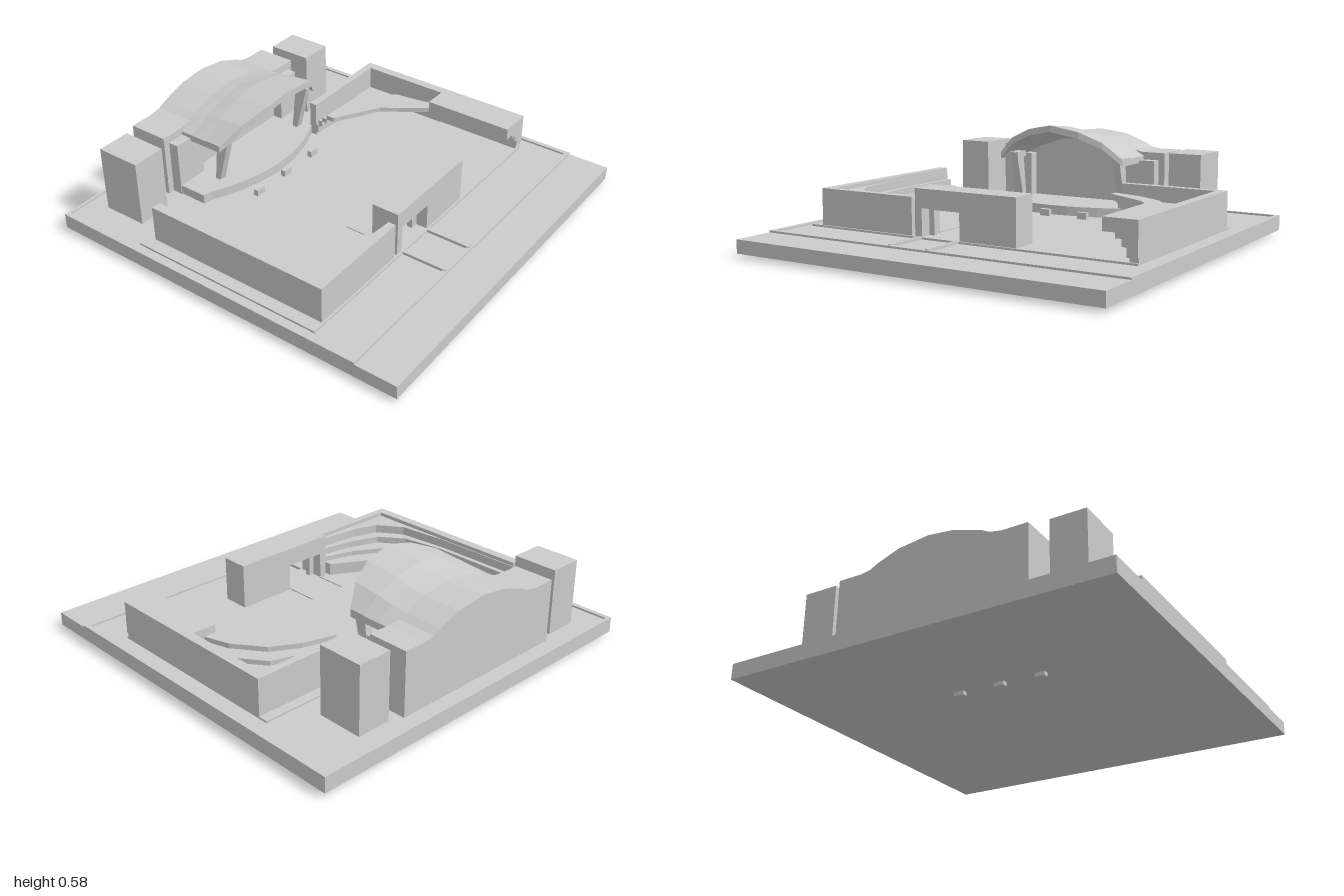
import * as THREE from 'three';

const mat = new THREE.MeshStandardMaterial({ color: 0xcccccc, flatShading: true, side: THREE.DoubleSide });

export function createModel() {
  const root = new THREE.Group();
  const add = (name, geo) => {
    const m = new THREE.Mesh(geo, mat);
    m.name = name;
    root.add(m);
    return m;
  };
  // box from its limits
  const box = (name, x0, x1, y0, y1, z0, z1) => {
    const g = new THREE.BoxGeometry(x1 - x0, y1 - y0, z1 - z0);
    g.translate((x0 + x1) / 2, (y0 + y1) / 2, (z0 + z1) / 2);
    return add(name, g);
  };
  const toPath = (pts, Type) => new Type(pts.map(([a, b]) => new THREE.Vector2(a, b)));
  const extrude = (shape, depth) => new THREE.ExtrudeGeometry(shape, { depth, bevelEnabled: false });
  // horizontal slab from an (x, z) outline
  const slab = (name, pts, y0, y1, hole) => {
    const flip = p => p.map(([x, z]) => [x, -z]);
    const s = toPath(flip(pts), THREE.Shape);
    if (hole) s.holes.push(toPath(flip(hole), THREE.Path));
    const g = extrude(s, y1 - y0);
    g.rotateX(-Math.PI / 2);
    g.translate(0, y0, 0);
    return add(name, g);
  };
  const rect = (x0, x1, z0, z1) => [[x0, z0], [x1, z0], [x1, z1], [x0, z1]];

  // ground, kerbs and plaza
  box('base', -1, 1, 0.02, 0.09, -1, 1);
  slab('perimeterKerb', rect(-1, 0.78, -1, 1), 0.09, 0.1, rect(-0.985, 0.755, -0.975, 0.975));
  box('plaza', -0.53, 0.53, 0.09, 0.1, -0.905, 0.945);
  for (const z of [0.035, 0.25]) {
    box('pathKerb', 0.53, 0.77, 0.09, 0.105, z - 0.008, z + 0.008);
    box('pathKerb', 0.2, 0.38, 0.09, 0.105, z - 0.005, z + 0.005);
  }

  // gatehouse with a doorway through it
  const gate = toPath([[-0.29, 0.1], [-0.25, 0.1], [-0.25, 0.24], [-0.03, 0.24], [-0.03, 0.1],
    [0.285, 0.1], [0.285, 0.335], [-0.29, 0.335]], THREE.Shape);
  const gateGeo = extrude(gate, 0.145);
  gateGeo.rotateY(Math.PI / 2);
  gateGeo.translate(0.375, 0, 0);
  add('gatehouse', gateGeo);
  // door frame inside the doorway
  box('doorPost', 0.43, 0.46, 0.1, 0.24, 0.03, 0.07);
  box('doorPost', 0.43, 0.46, 0.1, 0.24, 0.22, 0.25);
  box('doorLintel', 0.43, 0.46, 0.225, 0.24, 0.03, 0.25);

  // curved seating: front edge of each tier, from the straight run to the side end
  const curves = [
    [[0, 0.705], [0.22, 0.55], [0.36, 0.31]],
    [[0, 0.77], [0.13, 0.73], [0.28, 0.62], [0.36, 0.48], [0.41, 0.31]],
    [[0, 0.8], [0.22, 0.765], [0.35, 0.67], [0.41, 0.5], [0.44, 0.31]],
    [[0, 0.825], [0.27, 0.8], [0.4, 0.71], [0.44, 0.58], [0.465, 0.31]],
    [[0, 0.85], [0.5, 0.85], [0.5, 0.31]],
  ];
  const tops = [0.14, 0.165, 0.19, 0.225, 0.27];
  const turn = pts => pts.map(([x, z]) => [0.04 - x, -0.025 - z]);
  const outer = [[-0.49, 0.88], [0.52, 0.88], [0.52, 0.31], [0.48, 0.31], [0.48, 0.83], [-0.49, 0.83]];
  const outerBack = [[-0.01, 0.88], [0.52, 0.88], [0.52, 0.31], [0.48, 0.31], [0.48, 0.83], [-0.01, 0.83]];
  slab('frontStandWall', outer, 0.1, 0.29);
  slab('backStandWall', turn(outerBack), 0.1, 0.29);
  for (let k = 0; k < 4; k++) {
    const c = curves[k], z = c[0][1], top = tops[k + 1];
    const run = rect(-0.49, 0, z, 0.88);
    // front stand: solid steps rising outward
    slab('frontTier', [[-0.49, z], ...c, [0.5, 0.31], [0.5, 0.85], [-0.49, 0.85]], 0.1, top);
    // back stand: hanging ribbons stepping down towards the wall
    const ribbon = [...c, ...curves[k + 1].slice().reverse()];
    slab('backTier', turn(ribbon), 0.39 - top, 0.39 - tops[k]);
    slab('backOverhang', turn(run), 0.39 - top, 0.29);
  }
  box('backOverhangRear', 0.05, 0.52, 0.1, 0.29, -0.905, -0.86);

  // stage with a curved front
  const stage = [[-0.92, -0.42], [-0.5, -0.42]];
  for (let i = 0; i <= 10; i++) {
    const t = -1 + i / 5;
    stage.push([-0.38 - 0.11 * t * t, 0.05 + 0.42 * t]);
  }
  stage.push([-0.5, 0.52], [-0.92, 0.52]);
  slab('stage', stage, 0.1, 0.15);
  for (const z of [0.285, 0.065, -0.16]) box('stagePost', -0.347, -0.32, 0, 0.135, z - 0.027, z + 0.027);

  // stage house with arched top, and side towers
  const zs = [-0.33, -0.24, -0.12, 0.04, 0.18, 0.32, 0.43];
  const yBack = [0.41, 0.46, 0.505, 0.525, 0.51, 0.465, 0.41];
  const yFront = [0.41, 0.5, 0.555, 0.585, 0.558, 0.5, 0.41];
  const xFront = [-0.455, -0.395, -0.35, -0.33, -0.345, -0.395, -0.455];
  const house = [[0.455, 0.1], [0.455, 0.43], [0.33, 0.43],
    ...zs.slice(1, -1).map((z, i) => [-z, yBack[i + 1] - 0.015]),
    [-0.43, 0.43], [-0.56, 0.43], [-0.56, 0.1]];
  const houseGeo = extrude(toPath(house, THREE.Shape), 0.215);
  houseGeo.rotateY(Math.PI / 2);
  houseGeo.translate(-0.92, 0, 0);
  add('stageHouse', houseGeo);
  box('sideWing', -0.71, -0.65, 0.1, 0.39, 0.35, 0.525);
  box('sideWing', -0.71, -0.65, 0.1, 0.39, -0.42, -0.29);
  box('frontTower', -0.88, -0.64, 0.09, 0.44, 0.64, 0.82);
  box('backTower', -0.88, -0.64, 0.09, 0.44, -0.69, -0.51);

  // flared shell roof lofted from closed cross-sections
  const rowX = [-0.92, -0.71, -0.63, -0.54, null], rise = [0, 0, 0.25, 0.65, 1];
  const pos = [], idx = [], n = zs.length;
  rowX.forEach((x, r) => {
    for (let j = 0; j < 2 * n; j++) {
      const under = j >= n, i = under ? 2 * n - 1 - j : j;
      const y = yBack[i] + (yFront[i] - yBack[i]) * rise[r];
      pos.push(x === null ? xFront[i] : x, under ? y - 0.035 : y, zs[i]);
    }
  });
  const w = 2 * n;
  for (let r = 0; r < rowX.length - 1; r++) {
    for (let j = 0; j < w; j++) {
      const a = r * w + j, b = r * w + (j + 1) % w;
      idx.push(a, b, a + w, b, b + w, a + w);
    }
  }
  const last = (rowX.length - 1) * w;
  for (let i = 0; i < n - 1; i++) {
    const a = i, b = i + 1, c = w - 2 - i, d = w - 1 - i;
    idx.push(a, c, b, a, d, c);
    idx.push(last + a, last + b, last + c, last + a, last + c, last + d);
  }
  const roof = new THREE.BufferGeometry();
  roof.setAttribute('position', new THREE.Float32BufferAttribute(pos, 3));
  roof.setIndex(idx);
  const roofFlat = roof.toNonIndexed();
  roofFlat.computeVertexNormals();
  add('shellRoof', roofFlat);

  // slanted tapered roof legs
  const leg = toPath([[-0.555, 0.15], [-0.525, 0.15], [-0.455, 0.41], [-0.525, 0.41]], THREE.Shape);
  for (const z of [0.325, -0.31]) {
    const g = extrude(leg, 0.04);
    g.translate(0, 0, z);
    add('roofLeg', g);
  }
  // beam tying the legs to the roof edges
  box('roofBeam', -0.54, -0.46, 0.385, 0.415, 0.32, 0.43);
  box('roofBeam', -0.54, -0.46, 0.385, 0.415, -0.33, -0.27);
  return root;
}
